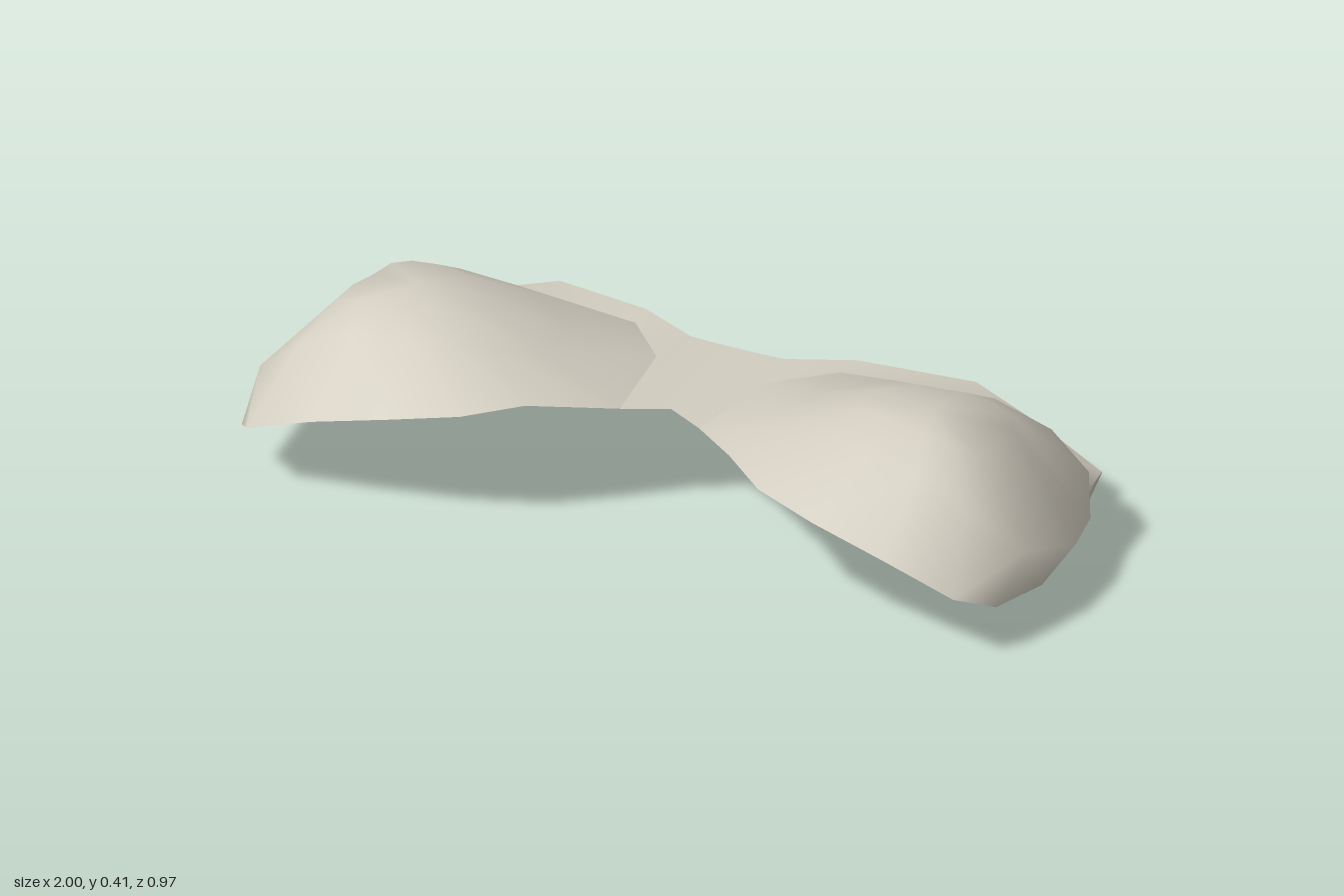
import * as THREE from 'three';

// Cup cross-sections for the +x side, running round from the inner front corner
const RIM = [
  [0.10, 0.265, 0.17], [0.26, 0.31, 0.33], [0.38, 0.295, 0.42], [0.54, 0.27, 0.465],
  [0.73, 0.225, 0.48], [0.90, 0.16, 0.465], [0.96, 0.11, 0.37], [0.97, 0.07, 0.16],
  [0.89, 0.0, -0.10], [0.87, 0.085, -0.27], [0.74, 0.14, -0.31], [0.61, 0.225, -0.315],
  [0.26, 0.26, -0.22], [0.14, 0.265, -0.09],
];
const MIDDLE = [
  [0.30, 0.345, 0.15], [0.40, 0.365, 0.22], [0.50, 0.375, 0.25], [0.58, 0.375, 0.28],
  [0.72, 0.365, 0.29], [0.85, 0.31, 0.30], [0.975, 0.20, 0.25], [1.0, 0.13, 0.05],
  [0.965, 0.12, -0.09], [0.92, 0.19, -0.17], [0.82, 0.27, -0.18], [0.68, 0.32, -0.17],
  [0.46, 0.335, -0.12], [0.32, 0.33, 0.0],
];
const APEX = [0.66, 0.415, 0.09];

// Band as pairs of inner and outer edge points, from the centre front to the centre back
const BAND = [
  [[0, 0.26, 0.11], [0, 0.258, -0.22]],
  [[0.10, 0.265, 0.17], [0.06, 0.258, -0.22]],
  [[0.14, 0.265, -0.09], [0.12, 0.26, -0.22]],
  [[0.26, 0.26, -0.22], [0.27, 0.26, -0.29]],
  [[0.61, 0.225, -0.315], [0.53, 0.23, -0.37]],
  [[0.74, 0.14, -0.31], [0.70, 0.15, -0.38]],
  [[0.87, 0.085, -0.27], [0.84, 0.065, -0.39]],
  [[0.89, 0.0, -0.10], [0.84, 0.062, -0.392]],
  [[0.40, 0.033, -0.325], [0.67, 0.022, -0.485]],
  [[0, 0.04, -0.34], [0, 0.025, -0.485]],
];

function surface(points, index) {
  const g = new THREE.BufferGeometry();
  g.setAttribute('position', new THREE.Float32BufferAttribute(points.flat(), 3));
  g.setIndex(index);
  g.computeVertexNormals();
  return g;
}

// Domed shell: rim, middle and upper rings closed at the apex
function cupGeometry(side) {
  const upper = MIDDLE.map((p) => {
    const q = p.map((v, k) => (v + APEX[k]) / 2);
    q[1] += (APEX[1] - p[1]) * 0.3;
    return q;
  });
  const rings = [RIM, MIDDLE, upper];
  const n = RIM.length;
  const points = [...rings.flat(), APEX].map(([x, y, z]) => [side * x, y, z]);
  const index = [];
  const tri = (a, b, c) => index.push(...(side > 0 ? [a, b, c] : [a, c, b]));
  for (let i = 0; i < n; i++) {
    const j = (i + 1) % n;
    for (let r = 0; r < rings.length - 1; r++) {
      const a = r * n + i, b = r * n + j;
      tri(a, b, b + n);
      tri(a, b + n, a + n);
    }
    tri(2 * n + i, 2 * n + j, 3 * n);
  }
  return surface(points, index);
}

// Closed ribbon: the half band plus its mirror image
function bandGeometry() {
  const mirrored = BAND.slice(1, -1).reverse()
    .map((pair) => pair.map(([x, y, z]) => [-x, y, z]));
  const loop = [...BAND, ...mirrored];
  const index = [];
  loop.forEach((_, i) => {
    const a = 2 * i, b = 2 * ((i + 1) % loop.length);
    // mirror the quad diagonal so both sides match
    if (i < BAND.length - 1) index.push(a, b, b + 1, a, b + 1, a + 1);
    else index.push(a, b, a + 1, b, b + 1, a + 1);
  });
  return surface(loop.flat(), index);
}

export function createModel() {
  const fabric = new THREE.MeshStandardMaterial({ color: 0xd2cdc0 });
  fabric.name = 'fabric';
  fabric.side = THREE.DoubleSide;

  const model = new THREE.Group();
  model.name = 'braTop';
  const add = (name, geometry) => {
    const mesh = new THREE.Mesh(geometry, fabric);
    mesh.name = name;
    model.add(mesh);
  };
  add('leftCup', cupGeometry(1));
  add('rightCup', cupGeometry(-1));
  add('band', bandGeometry());
  return model;
}
